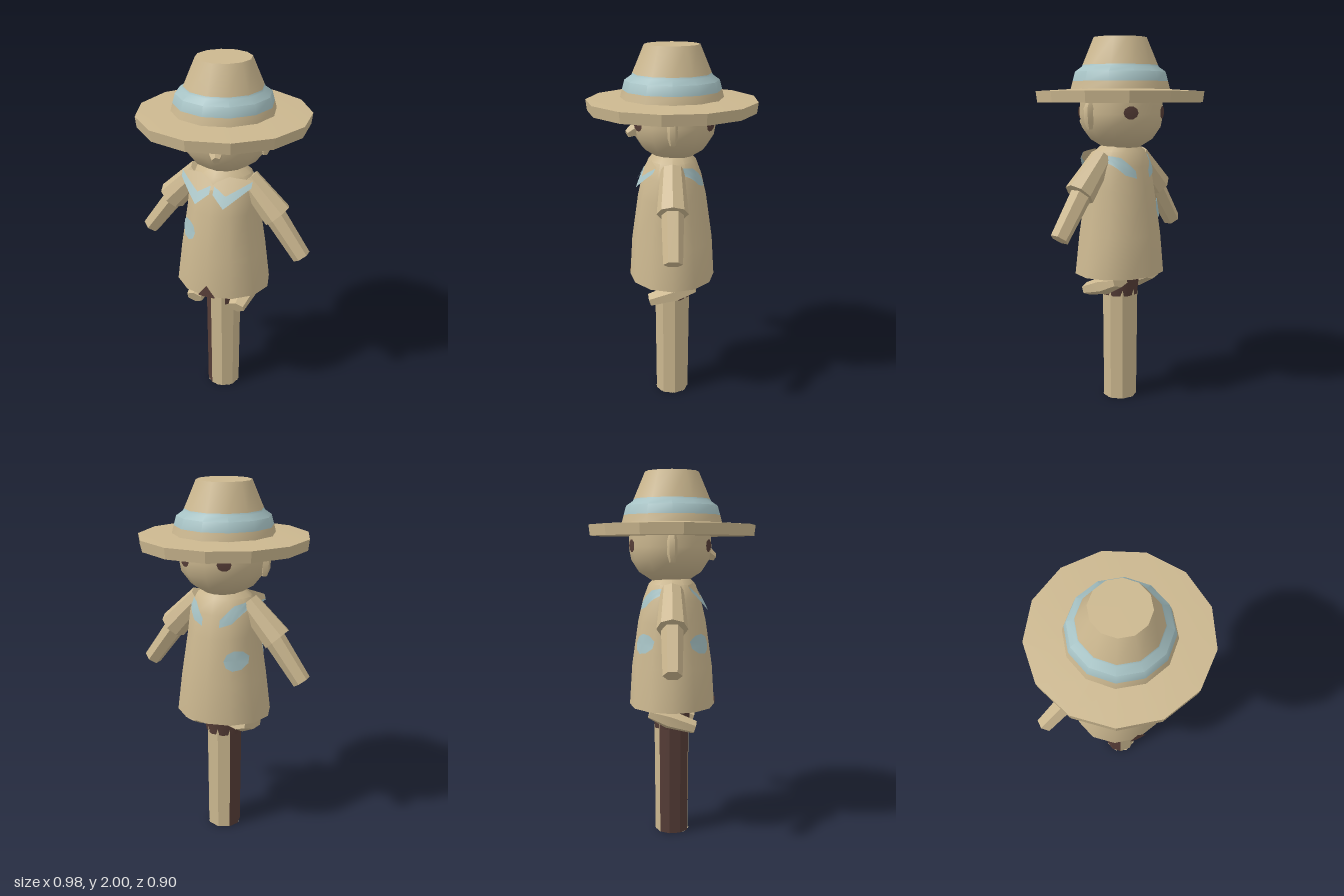
import * as THREE from 'three';
import { toCreasedNormals } from 'three/addons/utils/BufferGeometryUtils.js';

const material = (name, color) =>
  new THREE.MeshStandardMaterial({ name, color, side: THREE.DoubleSide });

// Stack of elliptical rings [y, radiusX, radiusZ, centreZ], listed from the bottom up
function loft(rings, sides, open = false, crease = 0.7) {
  const geo = new THREE.CylinderGeometry(1, 1, 1, sides, rings.length - 1, open);
  const p = geo.attributes.position;
  for (let i = 0; i < p.count; i++) {
    const [y, rx, rz = rx, cz = 0] = rings[Math.round((p.getY(i) + 0.5) * (rings.length - 1))];
    p.setXYZ(i, p.getX(i) * rx, y, p.getZ(i) * rz + cz);
  }
  return toCreasedNormals(geo, crease);
}

// Depth of a lofted surface at x, y, measured from its centre line
function depthAt(rings, x, y) {
  let k = 0;
  while (k < rings.length - 2 && rings[k + 1][0] < y) k++;
  const a = rings[k], b = rings[k + 1];
  const t = THREE.MathUtils.clamp((y - a[0]) / (b[0] - a[0]), 0, 1);
  const rx = a[1] + (b[1] - a[1]) * t, rz = a[2] + (b[2] - a[2]) * t;
  return rz * Math.sqrt(Math.max(0.05, 1 - (x / rx) ** 2));
}

export function createModel() {
  const model = new THREE.Group();
  model.name = 'scarecrow';
  const straw = material('straw tan', 0xcbb78f);
  const blue = material('faded blue', 0xa6c2c4);
  const brown = material('dark brown', 0x563d37);

  const add = (name, geo, mat) => {
    const mesh = new THREE.Mesh(geo, mat);
    mesh.name = name;
    model.add(mesh);
    return mesh;
  };

  // Tapered limb between two points in the xy plane
  const limb = (name, a, b, ra, rb, sides) => {
    const from = new THREE.Vector3(...a), to = new THREE.Vector3(...b);
    const dir = to.clone().sub(from);
    const mesh = add(name, loft([[-dir.length() / 2, ra], [dir.length() / 2, rb]], sides), straw);
    mesh.position.copy(from).add(to).multiplyScalar(0.5);
    mesh.quaternion.setFromUnitVectors(new THREE.Vector3(0, 1, 0), dir.normalize());
    return mesh;
  };

  // Flat geometry pressed onto a depth rule, on the front (1) or the back (-1)
  const press = (name, geo, mat, depth, face) => {
    const p = geo.attributes.position;
    for (let i = 0; i < p.count; i++) p.setZ(i, face * depth(p.getX(i), p.getY(i)));
    geo.computeVertexNormals();
    if (face < 0) {
      const index = geo.index.array;
      for (let i = 0; i < index.length; i += 3) [index[i], index[i + 1]] = [index[i + 1], index[i]];
      geo.computeVertexNormals();
    }
    return add(name, geo, mat);
  };

  // Strip running through points [x, bottom, top]
  const strip = (points) => {
    const geo = new THREE.PlaneGeometry(1, 1, 8, 3);
    const p = geo.attributes.position;
    for (let i = 0; i < p.count; i++) {
      const t = (p.getX(i) + 0.5) * (points.length - 1);
      const k = Math.min(points.length - 2, Math.floor(t)), f = t - k;
      const [x, lo, hi] = points[k].map((v, j) => v + (points[k + 1][j] - v) * f);
      p.setXYZ(i, x, lo + (hi - lo) * (p.getY(i) + 0.5), 0);
    }
    return geo;
  };

  // Post, with its weathered side
  const deg = Math.PI / 180;
  const postSide = (name, start, length, segments, mat) => {
    const geo = new THREE.CylinderGeometry(0.1, 0.094, 0.78, segments, 1, true, start * deg, length * deg);
    add(name, toCreasedNormals(geo, 0.5), mat).position.y = 0.39;
  };
  postSide('post', 335, 250, 6, straw);
  postSide('postDarkSide', 225, 110, 3, brown);
  const foot = add('postBase', new THREE.CircleGeometry(0.094, 8), straw);
  foot.rotation.x = Math.PI / 2;
  foot.position.y = 0.001;
  const lining = new THREE.CylinderGeometry(0.12, 0.102, 0.16, 7, 1, true, 28 * deg, 304 * deg);
  add('darkLining', lining, brown).position.y = 0.68;

  // Coat
  const coat = [
    [0.73, 0.268, 0.236], [0.95, 0.238, 0.222], [1.2, 0.2, 0.186],
    [1.32, 0.19, 0.158], [1.4, 0.155, 0.128], [1.445, 0.09, 0.085],
  ];
  add('coat', loft(coat, 12, true), straw);
  const onCoat = (x, y) => depthAt(coat, x, y) + 0.004;
  press('coatNotch', strip([[-0.05, 0.73, 0.735], [0, 0.73, 0.8], [0.05, 0.73, 0.735]]), brown, onCoat, 1);
  for (const face of [1, -1]) {
    const patch = new THREE.CircleGeometry(0.055, 9).translate(-0.14, 1.085, 0);
    press('coatPatch', patch, blue, onCoat, face);
  }

  // Collar flaps in front, coloured bands in front and behind
  const onCollar = (x, y) => 0.198 - (y - 1.26) * 0.55 - x * x;
  for (const s of [1, -1]) {
    const flap = strip([[0, 1.34, 1.37], [s * 0.08, 1.31, 1.41], [s * 0.2, 1.37, 1.4]]);
    press('collarFlap', flap, straw, onCollar, 1);
    const edge = strip([[s * 0.01, 1.32, 1.36], [s * 0.08, 1.26, 1.32], [s * 0.2, 1.365, 1.395]]);
    press('collarBand', edge, blue, (x, y) => onCollar(x, y) + 0.003, 1);
    const back = strip([[s * 0.05, 1.26, 1.3], [s * 0.11, 1.28, 1.37], [s * 0.165, 1.345, 1.385]]);
    press('backCollarBand', back, blue, onCoat, -1);
  }

  // Head
  const head = [
    [1.42, 0.1, 0.1, -0.01], [1.465, 0.175, 0.17, -0.01], [1.53, 0.226, 0.212, -0.01],
    [1.6, 0.238, 0.225, -0.01], [1.7, 0.232, 0.22, -0.01],
  ];
  add('head', loft(head, 12), straw);
  for (const face of [1, -1]) for (const x of [-0.1, 0.13]) {
    const eye = new THREE.CircleGeometry(0.034, 10).translate(x, 1.607, 0);
    press('eye', eye, brown, (px, py) => depthAt(head, px, py) + 0.004 - face * 0.01, face);
  }
  limb('nose', [0.045, 1.565, 0.195], [0.062, 1.545, 0.235], 0.038, 0.022, 5);

  // Hat
  add('hatBrim', loft([[1.66, 0.448], [1.718, 0.455], [1.73, 0.26]], 13, false, 0.3), straw);
  add('hatCrownBase', loft([[1.72, 0.275], [1.77, 0.262]], 12, true), straw);
  add('hatBand', loft([[1.77, 0.262], [1.82, 0.248], [1.845, 0.212], [1.855, 0.207]], 12, true), blue);
  add('hatCrown', loft([[1.855, 0.207], [2, 0.145]], 12), straw);

  // Ears, arms and trouser legs on both sides
  for (const s of [1, -1]) {
    const ear = add('ear', loft([[1.52, 0.015, 0.015], [1.56, 0.032, 0.026],
      [1.63, 0.036, 0.028], [1.67, 0.015, 0.018]], 6), straw);
    ear.position.x = s * 0.23;

    limb('sleeve', [s * 0.14, 1.37, 0], [s * 0.312, 1.185, 0], 0.062, 0.082, 8);
    limb('arm', [s * 0.27, 1.22, 0], [s * 0.457, 0.967, 0], 0.06, 0.05, 6);

    const leg = add('trouserLeg', loft([[-0.13, 0.05, 0.036], [0.02, 0.072, 0.052], [0.13, 0.06, 0.03]], 6), straw);
    leg.rotation.set(-Math.PI / 2 + 0.32, 0, 0);
    leg.position.set(s * 0.13, 0.665, 0);
  }
  return model;
}
